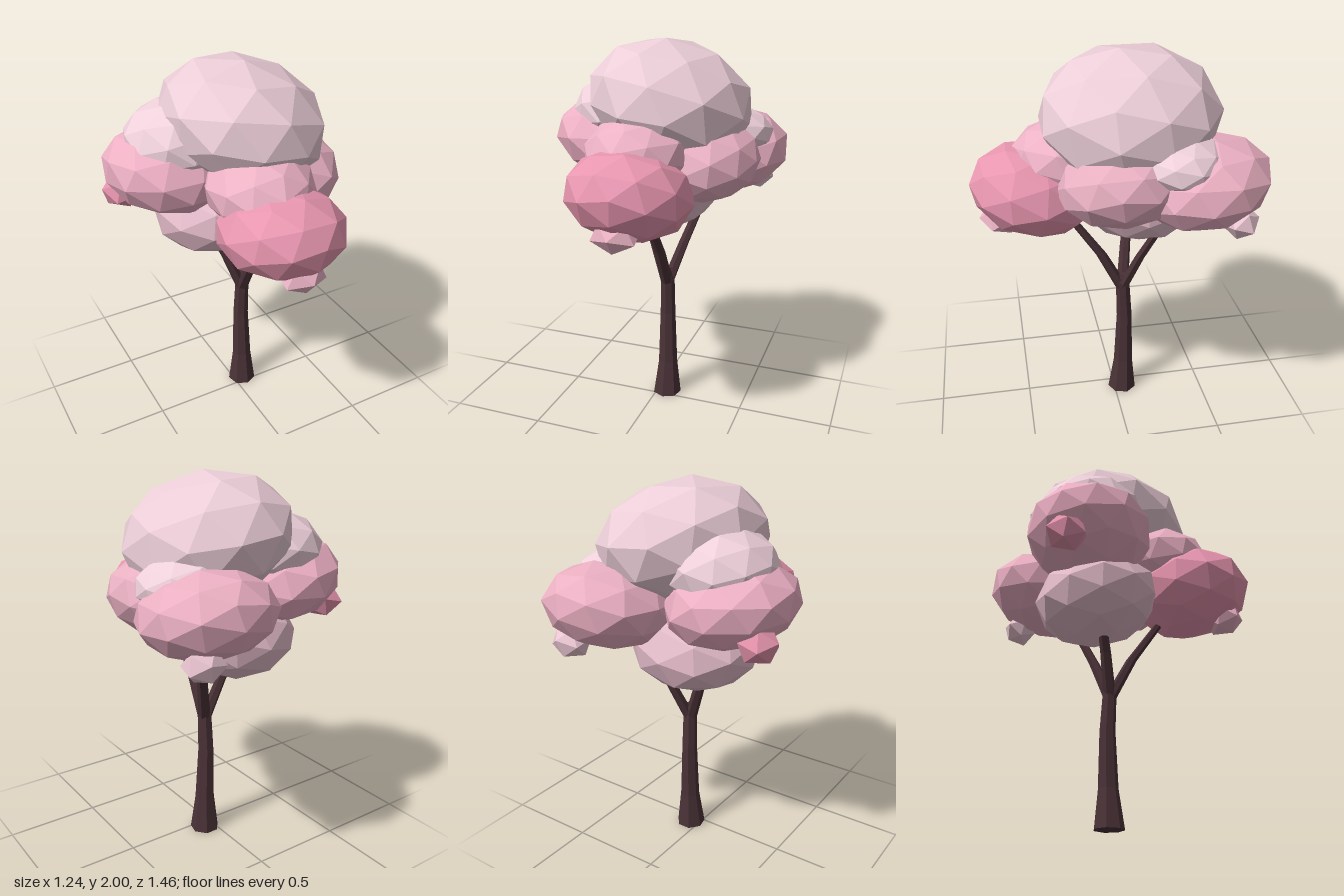
import * as THREE from 'three';

const material = (color) =>
  new THREE.MeshStandardMaterial({ color, flatShading: true });

// Faceted foliage clump: turned icosphere, squashed, tilted, then fitted to a box
function clump(name, color, min, max, { detail = 1, turn = 0, tilt = [0, 0] } = {}) {
  const geo = new THREE.IcosahedronGeometry(1, detail);
  const lo = new THREE.Vector3(...min);
  const size = new THREE.Vector3(...max).sub(lo);
  geo.rotateX(0.55).rotateY(turn);
  geo.scale(size.x, size.y, size.z);
  geo.rotateX(tilt[0]).rotateZ(tilt[1]);
  geo.computeBoundingBox();
  const box = geo.boundingBox;
  const got = box.getSize(new THREE.Vector3());
  geo.translate(-box.min.x, -box.min.y, -box.min.z);
  geo.scale(size.x / got.x, size.y / got.y, size.z / got.z);
  geo.translate(lo.x, lo.y, lo.z);
  geo.computeVertexNormals();
  const mesh = new THREE.Mesh(geo, material(color));
  mesh.name = name;
  return mesh;
}

// Tapered limb: a ring of corners at each [x, y, z, radius] station, capped at both ends
function limb(name, stations, sides, mat) {
  const pos = [];
  const index = [];
  for (const [x, y, z, r] of stations) {
    for (let i = 0; i < sides; i++) {
      const a = (i / sides) * Math.PI * 2;
      pos.push(x + r * Math.sin(a), y, z + r * Math.cos(a));
    }
  }
  for (let s = 0; s < stations.length - 1; s++) {
    for (let i = 0; i < sides; i++) {
      const a = s * sides + i;
      const b = s * sides + ((i + 1) % sides);
      index.push(a, b, b + sides, a, b + sides, a + sides);
    }
  }
  const top = (stations.length - 1) * sides;
  for (let i = 1; i < sides - 1; i++) {
    index.push(0, i + 1, i, top, top + i, top + i + 1);
  }
  const geo = new THREE.BufferGeometry();
  geo.setAttribute('position', new THREE.Float32BufferAttribute(pos, 3));
  geo.setIndex(index);
  geo.computeVertexNormals();
  const mesh = new THREE.Mesh(geo, mat);
  mesh.name = name;
  return mesh;
}

export function createModel() {
  const tree = new THREE.Group();
  tree.name = 'blossomTree';
  const bark = material(0x4a3237);

  // Trunk with a flared foot
  tree.add(limb('trunk', [
    [0.054, 0, -0.046, 0.08],
    [0.056, 0.2, -0.052, 0.054],
    [0.052, 0.5, -0.058, 0.043],
    [0.054, 0.72, -0.047, 0.038],
    [0.054, 0.77, -0.045, 0.02],
  ], 7, bark));

  // Three branches spreading from the fork
  const branches = {
    frontBranch: [[0.05, 0.9, 0.07], [0.04, 1.2, 0.28]],
    leftSideBranch: [[-0.03, 0.9, -0.075], [-0.15, 1.15, -0.12]],
    backBranch: [[0.12, 0.9, -0.125], [0.24, 1.27, -0.29]],
  };
  for (const [name, [mid, end]] of Object.entries(branches)) {
    tree.add(limb(name, [
      [0.053, 0.68, -0.045, 0.034],
      [...mid, 0.029],
      [...end, 0.022],
    ], 6, bark));
  }

  // Large foliage clumps
  const foliage = new THREE.Group();
  foliage.name = 'foliage';
  foliage.add(
    clump('crownClump', 0xebcdd7, [-0.35, 1.37, -0.515], [0.47, 2.0, 0.365], { turn: 0.3, tilt: [0.04, -0.35] }),
    clump('frontClump', 0xe896b0, [-0.3, 1.08, 0.08], [0.33, 1.525, 0.73], { turn: 0.1, tilt: [-0.18, -0.08] }),
    clump('frontUpperClump', 0xecb2c5, [-0.27, 1.27, -0.06], [0.26, 1.65, 0.51], { turn: 0.9 }),
    clump('rightSideClump', 0xe8b0c2, [0, 1.2, -0.33], [0.545, 1.61, 0.32], { turn: 1.4, tilt: [0.08, 0.1] }),
    clump('backClump', 0xeaafc2, [-0.05, 1.175, -0.73], [0.615, 1.615, -0.06], { turn: 0.9, tilt: [0.2, 0] }),
    clump('leftSideClump', 0xecafc3, [-0.62, 1.23, -0.51], [0.02, 1.67, 0.13], { turn: 1.1, tilt: [0, -0.25] }),
    clump('leftUpperClump', 0xeed0da, [-0.51, 1.42, -0.46], [0.02, 1.8, 0.1], { turn: 0.4 }),
    clump('rightUpperClump', 0xeed0da, [0.1, 1.4, -0.47], [0.55, 1.66, -0.06], { turn: 0.8, tilt: [0, -0.15] }),
    clump('lowerClump', 0xe4bcca, [-0.39, 0.965, -0.46], [0.29, 1.44, 0.21], { turn: 0.55, tilt: [-0.2, 0.08] }),
  );

  // Small stray tufts
  foliage.add(
    clump('frontTuft', 0xe8b0c2, [-0.09, 1.08, 0.48], [0.13, 1.235, 0.695], { detail: 0 }),
    clump('leftSideTuft', 0xe090a9, [-0.62, 1.24, -0.41], [-0.41, 1.41, -0.21], { detail: 0, turn: 0.5 }),
    clump('backTuft', 0xe9c4d0, [0.31, 1.145, -0.645], [0.51, 1.3, -0.47], { detail: 0, turn: 0.9 }),
  );
  tree.add(foliage);
  return tree;
}
